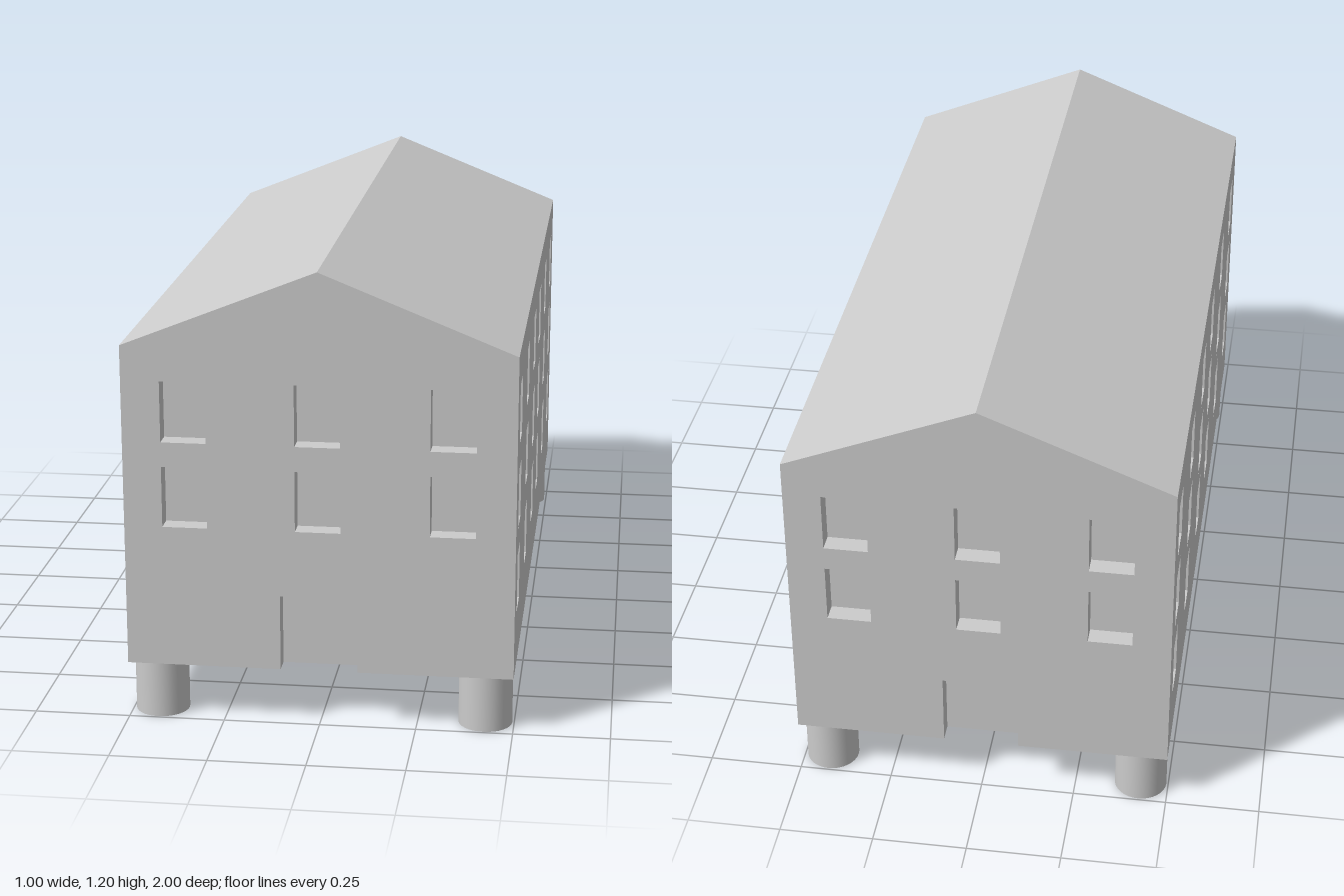
import * as THREE from 'three';

const RECESS = 0.05, FLOOR = 0.15, EAVES = 1, RIDGE = 1.2, HALF_W = 0.5, HALF_L = 1;

export function createModel() {
  const group = new THREE.Group();
  const material = new THREE.MeshStandardMaterial({ color: 0xcccccc });
  const thin = new THREE.MeshStandardMaterial({ color: 0xcccccc, side: THREE.DoubleSide });

  function add(name, geometry, mat = material) {
    const mesh = new THREE.Mesh(geometry, mat);
    mesh.name = name;
    group.add(mesh);
    return mesh;
  }

  function rect(x0, x1, y0, y1, Type = THREE.Path) {
    const r = new Type();
    r.moveTo(x0, y0);
    r.lineTo(x1, y0);
    r.lineTo(x1, y1);
    r.lineTo(x0, y1);
    r.closePath();
    return r;
  }

  // Outer wall skin pierced by window openings, mitred at the corners and the top
  function wallSkin(shape, halfWidth, distance, columns, width, rows) {
    for (const x of columns) {
      for (const [y0, y1] of rows) {
        shape.holes.push(rect(x - width / 2, x + width / 2, y0, y1));
      }
    }
    const g = new THREE.ExtrudeGeometry(shape, { depth: RECESS, bevelEnabled: false });
    const p = g.attributes.position;
    for (let i = 0; i < p.count; i++) {
      if (p.getZ(i) > RECESS / 2) continue;
      const x = p.getX(i), y = p.getY(i);
      if (Math.abs(x) > halfWidth - 0.001) p.setX(i, x - Math.sign(x) * RECESS);
      if (y > EAVES - 0.001) p.setY(i, y - RECESS);
    }
    g.translate(0, 0, distance - RECESS);
    g.computeVertexNormals();
    return g;
  }

  // Gable wall with the door cut out of its lower edge
  const gable = new THREE.Shape([
    [-HALF_W, FLOOR], [-0.1, FLOOR], [-0.1, 0.35], [0.1, 0.35], [0.1, FLOOR],
    [HALF_W, FLOOR], [HALF_W, EAVES], [0, RIDGE], [-HALF_W, EAVES],
  ].map(([x, y]) => new THREE.Vector2(x, y)));
  const gableGeometry = wallSkin(gable, HALF_W, HALF_L,
    [-0.343, -0.002, 0.341], 0.116, [[0.525, 0.685], [0.75, 0.91]]);

  const side = rect(-HALF_L, HALF_L, FLOOR, EAVES, THREE.Shape);
  const sideGeometry = wallSkin(side, HALF_L, HALF_W,
    [-0.855, -0.505, -0.15, 0.15, 0.5, 0.85], 0.105, [[0.3, 0.455], [0.525, 0.68], [0.75, 0.905]]);

  add('frontWall', gableGeometry);
  add('backWall', gableGeometry).rotation.y = Math.PI;
  add('leftWall', sideGeometry).rotation.y = Math.PI / 2;
  add('rightWall', sideGeometry).rotation.y = -Math.PI / 2;

  // Inner lining closes the backs of the windows and doors, open at the bottom
  const ix = HALF_W - RECESS, iz = HALF_L - RECESS, top = EAVES - RECESS;
  const ring = rect(-ix, ix, -iz, iz, THREE.Shape);
  ring.holes.push(rect(-ix + RECESS, ix - RECESS, -iz + RECESS, iz - RECESS));
  const lining = new THREE.ExtrudeGeometry(ring, { depth: top - FLOOR, bevelEnabled: false });
  lining.rotateX(-Math.PI / 2);
  add('innerWalls', lining).position.y = FLOOR;
  add('ceiling', new THREE.BoxGeometry(2 * (ix - RECESS), RECESS, 2 * (iz - RECESS)))
    .position.y = top - RECESS / 2;

  // Two roof slopes meeting at the ridge
  const rise = RIDGE - EAVES;
  for (const s of [1, -1]) {
    const slope = new THREE.PlaneGeometry(Math.hypot(HALF_W, rise), 2 * HALF_L);
    slope.rotateX(-Math.PI / 2);
    slope.rotateZ(-s * Math.atan2(rise, HALF_W));
    slope.translate(s * HALF_W / 2, (EAVES + RIDGE) / 2, 0);
    add(s > 0 ? 'leftRoofSlope' : 'rightRoofSlope', slope, thin);
  }

  // Round corner posts
  const post = new THREE.CylinderGeometry(0.07, 0.07, FLOOR, 32);
  for (const x of [-0.425, 0.425]) {
    for (const z of [-0.925, 0.925]) {
      add('cornerPost', post).position.set(x, FLOOR / 2, z);
    }
  }

  return group;
}
